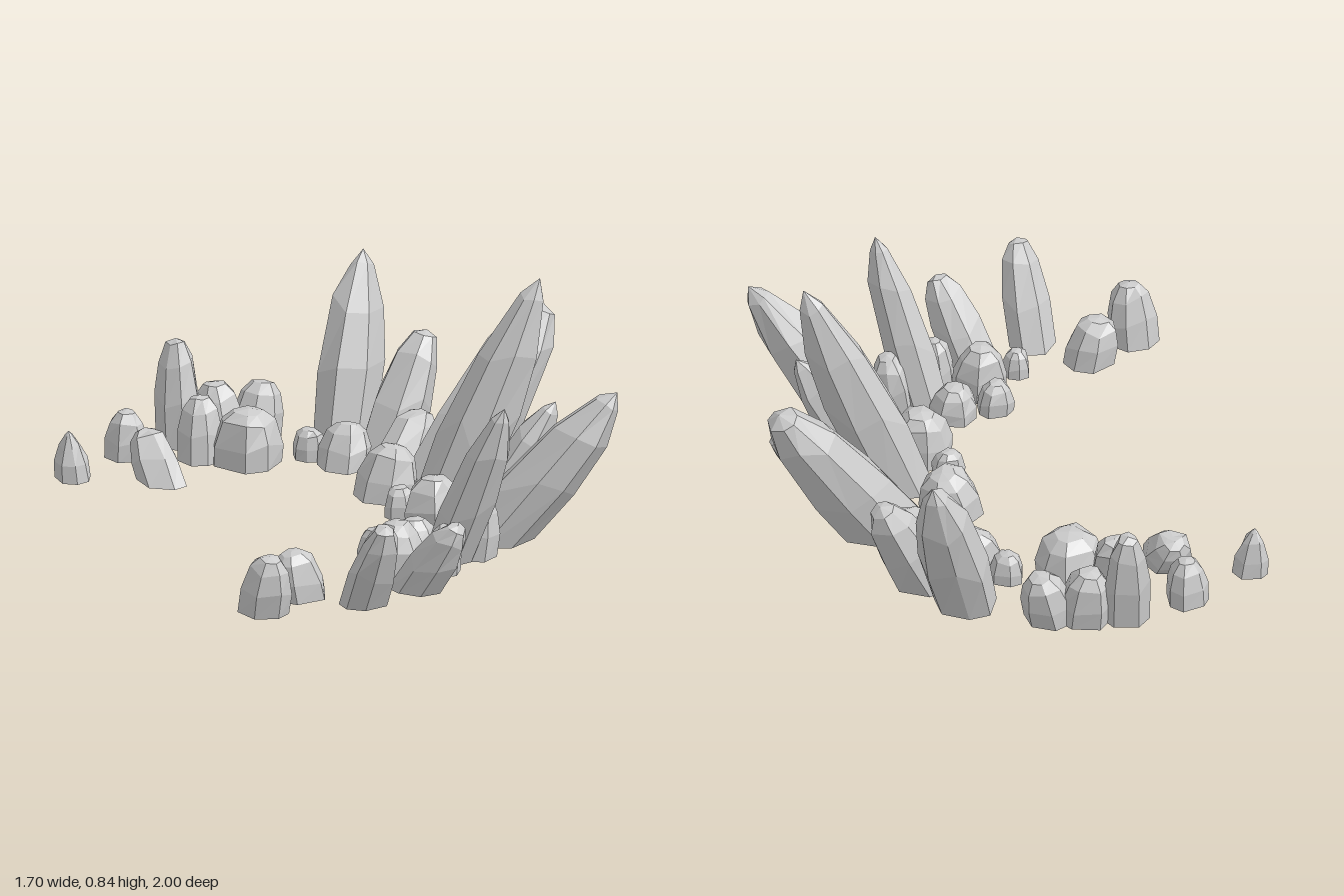
import * as THREE from 'three';

const SIDES = 7;
// profile rings: [fraction of length, fraction of radius, unevenness along the length]
const SHARP = [[0, 0.92, 0], [0.36, 1, 0.2], [0.7, 0.8, 0.14], [0.92, 0.36, 0.03]];
const BLUNT = [[0, 1, 0], [0.4, 0.99, 0.2], [0.78, 0.76, 0.12], [0.96, 0.42, 0.03]];
const CONE = [[0, 1.05, 0], [0.35, 0.95, 0.15], [0.7, 0.6, 0.12], [0.92, 0.2, 0.03]];

// base x, base z, tip x, tip z, height, radius, profile
const CRYSTALS = {
  frontArm: [
    [-0.765, 0.73, -0.76, 0.77, 0.22, 0.088, BLUNT],
    [-0.58, 0.65, -0.615, 0.65, 0.175, 0.092, BLUNT],
    [-0.415, 0.81, -0.41, 0.98, 0.34, 0.085, BLUNT],
    [-0.18, 0.77, -0.095, 0.93, 0.275, 0.085, BLUNT],
    [-0.31, 0.645, -0.31, 0.645, 0.1, 0.053, BLUNT],
    [-0.155, 0.59, -0.16, 0.58, 0.19, 0.1, BLUNT],
    [-0.175, 0.455, -0.18, 0.45, 0.12, 0.068, BLUNT],
    [-0.02, 0.46, -0.02, 0.45, 0.13, 0.083, BLUNT],
    [-0.02, 0.67, -0.01, 0.68, 0.18, 0.065, BLUNT],
    [0.055, 0.56, 0.18, 0.755, 0.61, 0.09, SHARP],
    [0.16, 0.575, 0.19, 0.58, 0.22, 0.078, BLUNT],
  ],
  centre: [
    [0.29, 0.45, 0.675, 0.665, 0.555, 0.125, SHARP],
    [0.34, 0.275, 0.59, 0.355, 0.43, 0.085, SHARP],
    [0.47, 0.125, 0.725, 0.17, 0.25, 0.08, BLUNT],
    [0.275, 0.11, 0.61, 0.195, 0.84, 0.122, SHARP],
    [0.16, 0.26, 0.16, 0.25, 0.19, 0.113, BLUNT],
    [0.1, 0.1, 0.1, 0.1, 0.11, 0.06, BLUNT],
    [0.145, -0.105, 0.19, -0.115, 0.18, 0.11, BLUNT],
    [0.4, -0.125, 0.81, -0.175, 0.59, 0.142, BLUNT],
    [0.27, -0.26, 0.425, -0.36, 0.19, 0.1, BLUNT],
    [0.36, -0.485, 0.55, -0.56, 0.4, 0.105, BLUNT],
  ],
  backArm: [
    [0.26, -0.66, 0.435, -0.83, 0.635, 0.118, SHARP],
    [0.15, -0.43, 0.185, -0.46, 0.15, 0.092, BLUNT],
    [0.08, -0.56, 0.08, -0.56, 0.11, 0.062, BLUNT],
    [0.0, -0.82, 0.05, -0.85, 0.2, 0.095, BLUNT],
    [-0.135, -0.62, -0.13, -0.62, 0.2, 0.13, BLUNT],
    [-0.12, -0.86, -0.13, -0.89, 0.21, 0.1, BLUNT],
    [-0.26, -0.9, -0.25, -0.95, 0.375, 0.087, BLUNT],
    [-0.27, -0.725, -0.26, -0.75, 0.23, 0.087, BLUNT],
    [-0.49, -0.865, -0.49, -0.865, 0.175, 0.075, BLUNT],
    [-0.76, -0.755, -0.775, -0.76, 0.18, 0.063, CONE],
    [-0.49, -0.595, -0.49, -0.725, 0.155, 0.087, BLUNT],
  ],
};

function seededRandom(seed) {
  let s = seed * 7919 + 17;
  return () => (s = (s * 16807) % 2147483647) / 2147483647;
}

// Tapered faceted shell: open and level at the ground, upper rings square to its axis
function crystalGeometry([x, z, tipX, tipZ, h, radius, profile], seed) {
  const random = seededRandom(seed);
  random();
  const lean = Math.hypot(tipX - x, tipZ - z);
  const length = Math.hypot(lean, h);
  const cos = h / length, sin = lean / length;
  const ex = lean ? (tipX - x) / lean : 1;
  const ez = lean ? (tipZ - z) / lean : 0;
  const start = random() * Math.PI * 2;
  const sides = Array.from({ length: SIDES }, (_, i) => ({
    angle: start + ((i + (random() - 0.5) * 0.4) / SIDES) * Math.PI * 2,
    size: 0.95 + random() * 0.12,
  }));

  const positions = [];
  for (const [level, r, uneven] of profile) {
    for (const side of sides) {
      const t = level + (random() - 0.5) * uneven;
      const size = radius * r * side.size * (0.97 + random() * 0.06);
      const u = Math.cos(side.angle) * size;
      const v = Math.sin(side.angle) * size;
      const along = u * ((1 - t) / cos + t * cos);
      positions.push(
        x + (tipX - x) * t + ex * along - ez * v,
        Math.max(0, Math.min(h, h * t - u * sin * t)),
        z + (tipZ - z) * t + ez * along + ex * v,
      );
    }
  }
  const apex = positions.length / 3;
  positions.push(tipX, h, tipZ);

  const index = [];
  const last = profile.length - 1;
  for (let i = 0; i < SIDES; i++) {
    const j = (i + 1) % SIDES;
    for (let k = 0; k < last; k++) {
      const a = k * SIDES + i, b = k * SIDES + j;
      index.push(a, a + SIDES, b, b, a + SIDES, b + SIDES);
    }
    index.push(last * SIDES + i, apex, last * SIDES + j); // point
  }
  const geometry = new THREE.BufferGeometry();
  geometry.setAttribute('position', new THREE.Float32BufferAttribute(positions, 3));
  geometry.setIndex(index);
  const flat = geometry.toNonIndexed();
  flat.computeVertexNormals();
  return flat;
}

export function createModel() {
  const model = new THREE.Group();
  model.name = 'crystalCrescent';
  const material = new THREE.MeshStandardMaterial({
    color: 0xcccccc, flatShading: true, side: THREE.DoubleSide,
  });
  let seed = 1;
  for (const [name, list] of Object.entries(CRYSTALS)) {
    const cluster = new THREE.Group();
    cluster.name = name;
    list.forEach((spec, i) => {
      const crystal = new THREE.Mesh(crystalGeometry(spec, seed++), material);
      crystal.name = `crystal${i + 1}`;
      cluster.add(crystal);
    });
    model.add(cluster);
  }
  return model;
}
